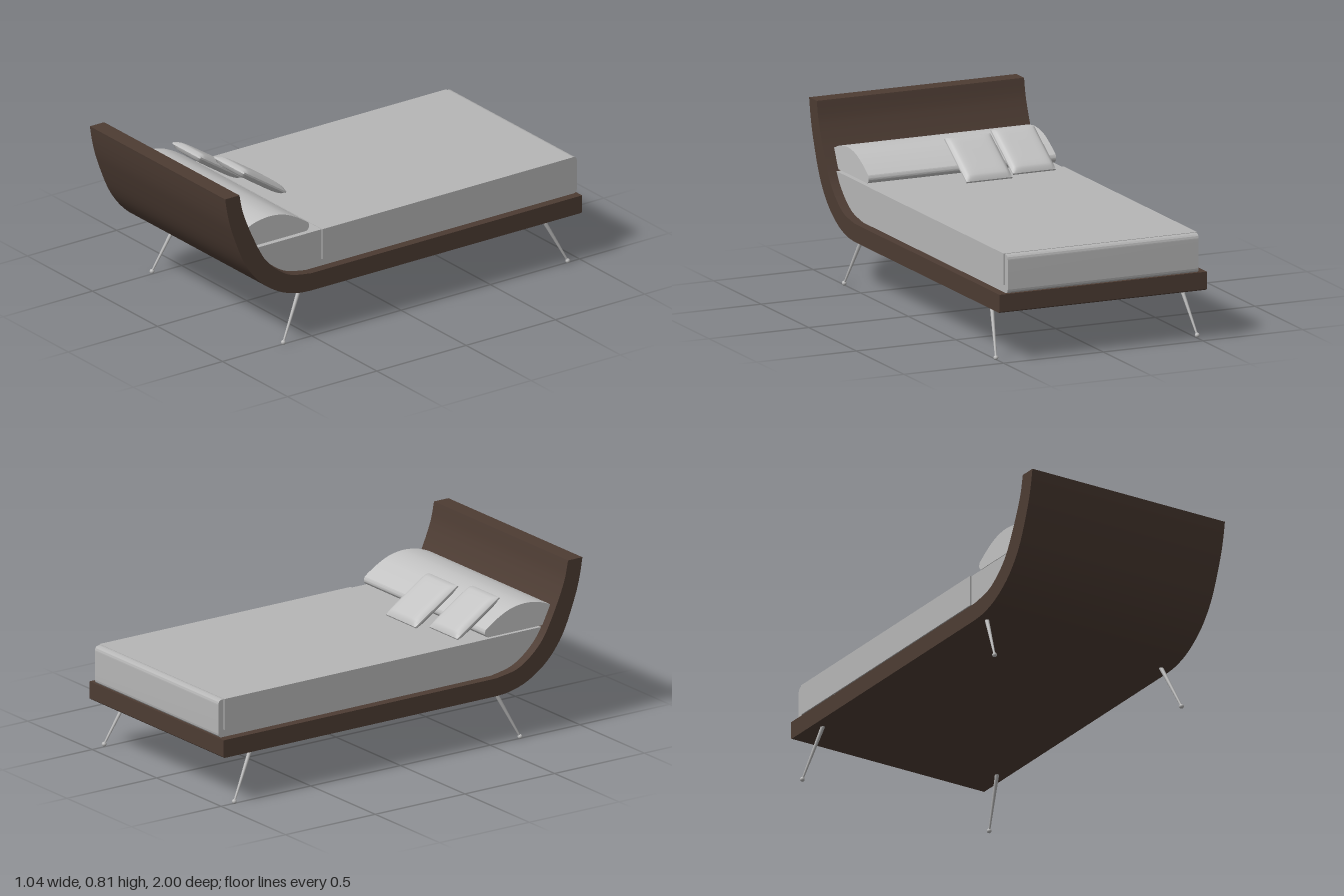
import * as THREE from 'three';
import { toCreasedNormals } from 'three/addons/utils/BufferGeometryUtils.js';

const material = (name, color) => Object.assign(new THREE.MeshStandardMaterial({ color }), { name });

export function createModel() {
  const wood = material('dark wood', 0x4d3c33);
  const linen = material('grey linen', 0xb6b6b6);
  const pillowCloth = material('pale pillow cloth', 0xc2c2c2);
  const metal = material('brushed metal', 0xb8b8b8);

  const bed = new THREE.Group();
  bed.name = 'bed';
  const add = (name, geometry, mat) => {
    const mesh = new THREE.Mesh(geometry, mat);
    mesh.name = name;
    bed.add(mesh);
    return mesh;
  };
  const v = ([z, y]) => new THREE.Vector2(z, y);

  // Extrudes a side profile drawn in (z, y) across the width of the bed
  const across = (shape, width, centre = 0) => {
    const g = new THREE.ExtrudeGeometry(shape, { depth: width, bevelEnabled: false, curveSegments: 40 });
    g.translate(0, 0, -width / 2);
    g.rotateY(-Math.PI / 2);
    g.translate(centre, 0, 0);
    return toCreasedNormals(g, 0.5);
  };

  // Base sweeping up into the curved headboard
  const frame = new THREE.Shape();
  frame.moveTo(-1, 0.24);
  frame.lineTo(-0.995, 0.235);
  frame.lineTo(0.52, 0.235);
  frame.splineThru([[0.6, 0.243], [0.69, 0.272], [0.78, 0.328], [0.85, 0.4], [0.905, 0.49], [0.96, 0.63], [0.985, 0.72], [1, 0.805]].map(v));
  frame.lineTo(0.92, 0.805);
  frame.splineThru([[0.9, 0.715], [0.86, 0.613], [0.805, 0.5], [0.765, 0.44], [0.705, 0.383], [0.63, 0.34], [0.52, 0.32]].map(v));
  frame.lineTo(-1, 0.32);
  add('bedFrame', across(frame, 1.04), wood);

  // Mattress following the curve at the head, rounded at the foot
  const mattress = new THREE.Shape();
  mattress.moveTo(-0.98, 0.32);
  mattress.lineTo(0.52, 0.322);
  mattress.splineThru([[0.625, 0.344], [0.7, 0.387], [0.76, 0.443], [0.8, 0.5]].map(v));
  mattress.lineTo(-0.975, 0.5);
  mattress.quadraticCurveTo(-1, 0.5, -1, 0.475);
  mattress.lineTo(-1, 0.34);
  mattress.quadraticCurveTo(-1, 0.32, -0.98, 0.32);
  add('mattress', across(mattress, 0.958), linen);

  // Cover draped over the top and sides
  const cover = new THREE.BoxGeometry(0.97, 0.147, 1.4);
  cover.translate(0, 0.4285, -0.27);
  add('bedCover', cover, linen);

  // Wide domed pillow against the headboard
  const pillow = new THREE.Shape();
  pillow.moveTo(0.505, 0.506);
  pillow.lineTo(0.81, 0.506);
  pillow.lineTo(0.853, 0.597);
  pillow.splineThru([[0.79, 0.62], [0.71, 0.63], [0.63, 0.618], [0.56, 0.587], [0.495, 0.546]].map(v));
  pillow.quadraticCurveTo(0.48, 0.52, 0.505, 0.506);
  add('pillow', across(pillow, 0.94, -0.005), pillowCloth);

  // Plump square cushions leaning on the pillow
  const cushionGeometry = (width, length) => {
    const g = new THREE.BoxGeometry(width, 1, length, 20, 1, 20);
    const p = g.attributes.position;
    for (let i = 0; i < p.count; i++) {
      const a = Math.min(1, Math.abs(2 * p.getX(i) / width));
      const b = Math.min(1, Math.abs(2 * p.getZ(i) / length));
      const bulge = Math.pow((1 - a ** 6) * (1 - b ** 6), 0.5);
      p.setY(i, Math.sign(p.getY(i)) * (0.004 + 0.02 * bulge));
    }
    g.computeVertexNormals();
    return g;
  };
  for (const [name, x, z, width] of [['rightCushion', -0.312, 0.493, 0.215], ['middleCushion', -0.06, 0.437, 0.23]]) {
    const cushion = add(name, cushionGeometry(width, 0.28), pillowCloth);
    cushion.position.set(x, 0.583, z);
    cushion.rotation.x = -0.58;
  }

  // Slender splayed legs ending in ball feet
  const up = new THREE.Vector3(0, 1, 0);
  for (const side of [-1, 1]) {
    for (const [end, topZ, footZ] of [['front', 0.545, 0.663], ['back', -0.81, -0.93]]) {
      const top = new THREE.Vector3(side * 0.47, 0.242, topZ);
      const foot = new THREE.Vector3(side * 0.505, 0.011, footZ);
      const axis = top.clone().sub(foot);
      const name = end + (side > 0 ? 'Left' : 'Right');
      const leg = add(name + 'Leg', new THREE.CylinderGeometry(0.01, 0.0045, axis.length(), 16), metal);
      leg.position.copy(top).add(foot).multiplyScalar(0.5);
      leg.quaternion.setFromUnitVectors(up, axis.normalize());
      add(name + 'Foot', new THREE.SphereGeometry(0.011, 16, 12), metal).position.copy(foot);
    }
  }
  return bed;
}
